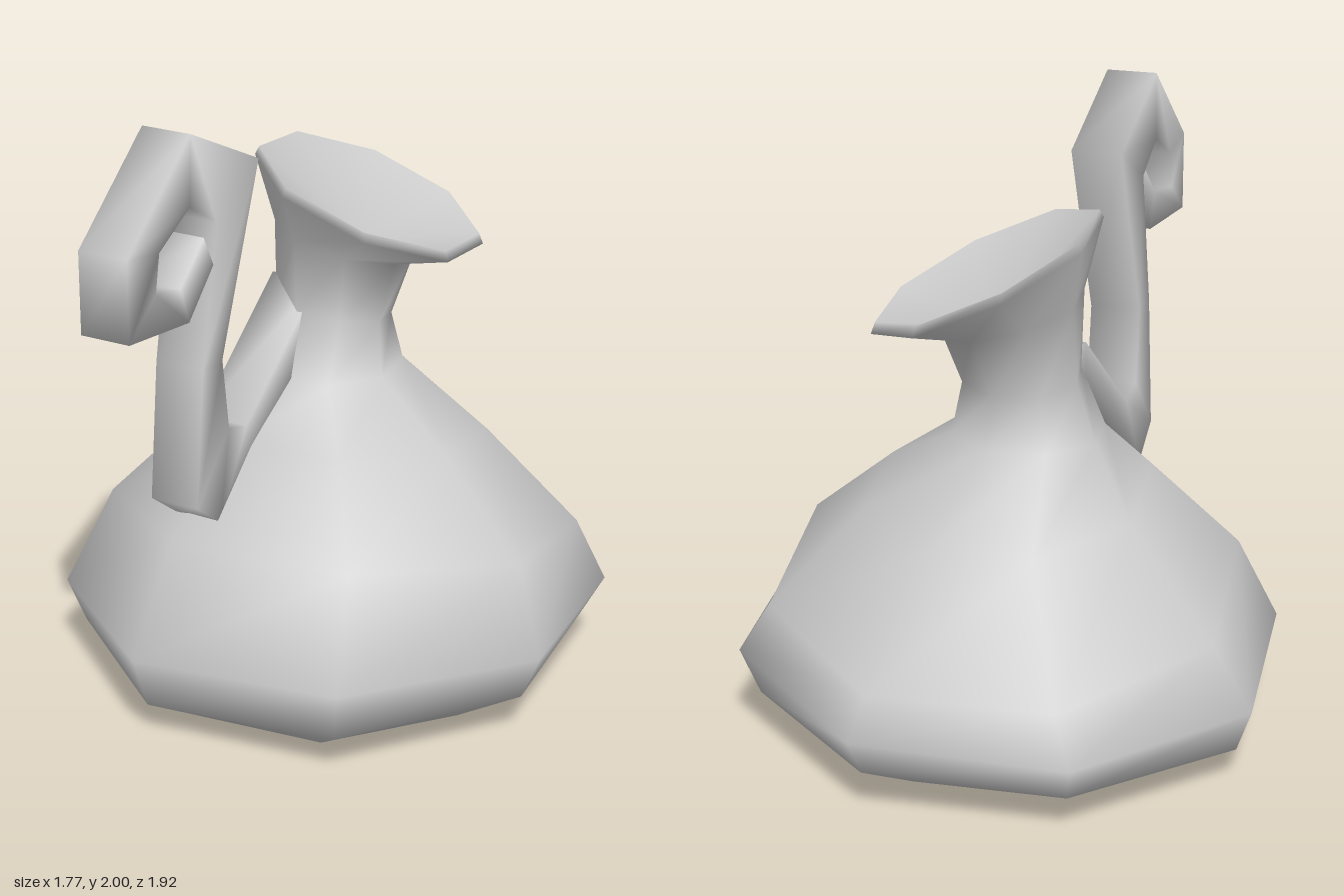
import * as THREE from 'three';
import { mergeVertices } from 'three/addons/utils/BufferGeometryUtils.js';

const grey = new THREE.MeshStandardMaterial({ color: 0xcccccc });

// Skins a list of equal-length rings of [x, y, z] points with smooth normals
function loft(name, rings) {
  const n = rings[0].length;
  const index = [];
  for (let k = 0; k < rings.length - 1; k++) {
    for (let i = 0; i < n; i++) {
      const a = k * n + i, b = k * n + (i + 1) % n;
      index.push(a, a + n, b, b, a + n, b + n);
    }
  }
  let geometry = new THREE.BufferGeometry();
  geometry.setAttribute('position', new THREE.Float32BufferAttribute(rings.flat(2), 3));
  geometry.setIndex(index);
  geometry = mergeVertices(geometry);
  geometry.computeVertexNormals();
  const mesh = new THREE.Mesh(geometry, grey);
  mesh.name = name;
  return mesh;
}

// Eight-sided ring, tilted by slopeX and slopeZ
function octagon([cx, y, cz, rx, rz, slopeX = 0, slopeZ = 0]) {
  return Array.from({ length: 8 }, (_, i) => {
    const t = THREE.MathUtils.degToRad(-8 + 45 * i);
    const dx = rx * Math.cos(t), dz = rz * Math.sin(t);
    return [cx + dx, y + slopeX * dx + slopeZ * dz, cz + dz];
  });
}

export function createModel() {
  const group = new THREE.Group();
  group.name = 'jug';

  // Body, neck, flared lip and the funnel inside it:
  // centre x, y, z, radius x, radius z, slope x, slope z
  const body = [
    [-0.03, 0.01, -0.06, 0, 0],
    [-0.03, 0.01, -0.055, 0.61, 0.62, 0, 0.01],
    [-0.03, 0.13, -0.1, 0.83, 0.83, 0.025, -0.02],
    [0, 0.28, -0.08, 0.895, 0.885, 0.06, 0.03],
    [-0.035, 0.52, -0.145, 0.77, 0.76, 0.1, 0.16],
    [-0.045, 0.82, -0.145, 0.45, 0.48, 0.07, 0.14],
    [-0.115, 1.03, -0.13, 0.25, 0.24],
    [-0.1, 1.21, -0.145, 0.21, 0.17, 0, 0.15],
    [-0.11, 1.43, -0.195, 0.22, 0.225, -0.15, 0.2],
    [-0.07, 1.55, -0.265, 0.335, 0.38, -0.33, 0.3],
    [-0.07, 1.58, -0.265, 0.325, 0.365, -0.33, 0.3],
    [-0.11, 1.4, -0.28, 0, 0],
  ];
  group.add(loft('body', body.map(octagon)));

  // Handle: front z, y, back z, y of each cut, and an optional sideways shift.
  // It runs from the neck down to the elbow, up the post and round the curl.
  const cuts = [
    [-0.04, 1.12, -0.04, 1.31],
    [0.5, 0.7, 0.36, 0.97],
    [0.62, 0.8, 0.45, 1.0],
    [0.58, 1.24, 0.48, 1.24],
    [0.5, 1.69, 0.28, 1.82],
    [0.63, 1.78, 0.62, 2.0],
    [0.78, 1.69, 0.93, 1.72],
    [0.8, 1.57, 0.93, 1.46],
    [0.72, 1.57, 0.68, 1.45, 0.04],
    [0.62, 1.7, 0.575, 1.6, 0.06],
  ];
  const corner = (z, y, side, shift) =>
    [-0.15 + 0.42 * z + shift + side * 0.075, y, z - side * 0.034];
  const rings = cuts.map(([az, ay, bz, by, shift = 0]) => [
    corner(bz, by, 1, shift), corner(az, ay, 1, shift),
    corner(az, ay, -1, shift), corner(bz, by, -1, shift),
  ]);
  // Close both ends with a centre point
  const centre = (ring) => {
    const c = [0, 1, 2].map((j) => ring.reduce((s, p) => s + p[j], 0) / ring.length);
    return ring.map(() => c);
  };
  rings.unshift(centre(rings[0]));
  rings.push(centre(rings[rings.length - 1]));
  group.add(loft('handle', rings));

  return group;
}
